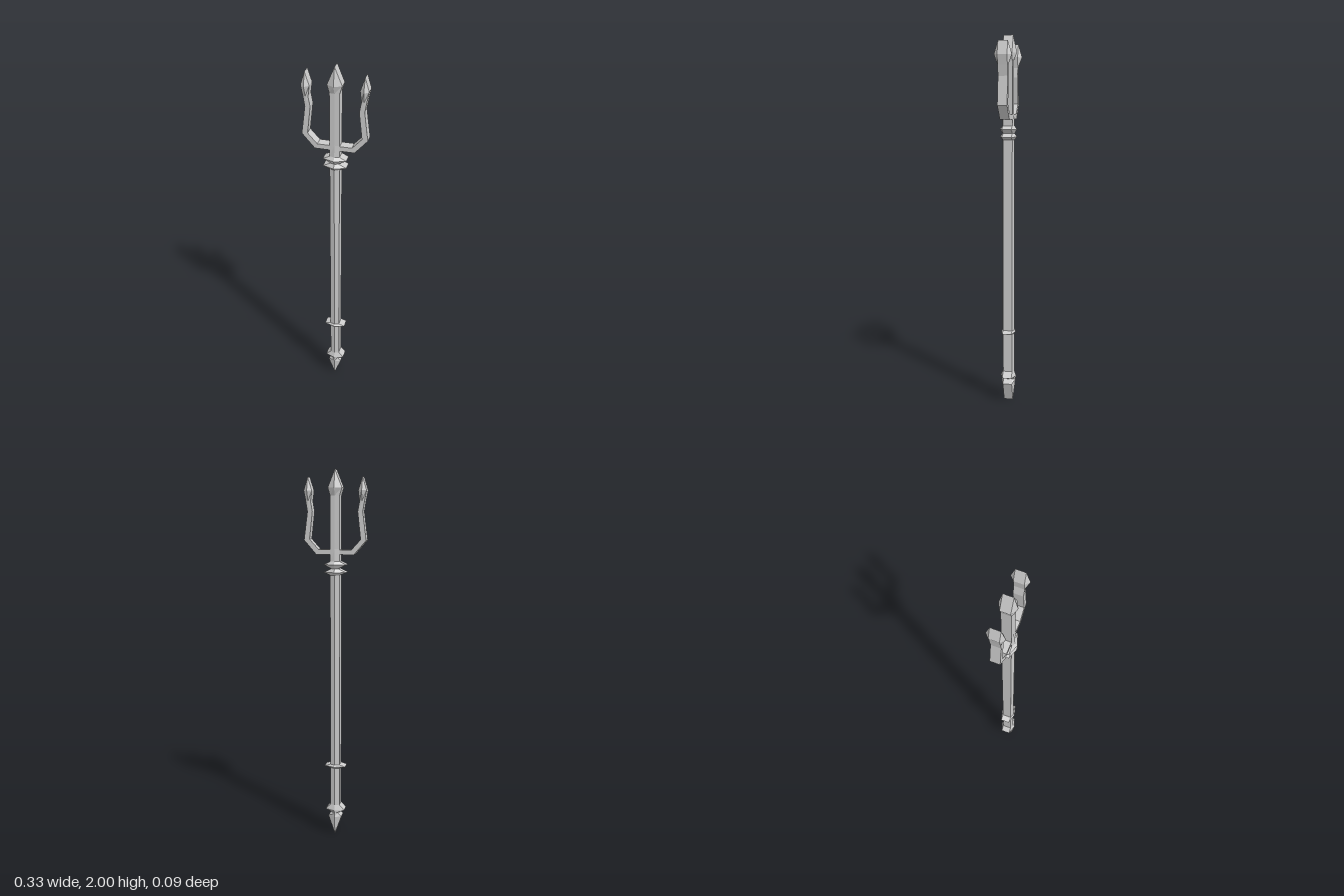
import * as THREE from 'three';

const D = 0.025; // half depth of the flat sides

// Skins a row of hexagonal sections. Each section is
// [leftX, leftY, rightX, rightY, ridge]: two flat sides of half depth D,
// joined front and back by a centre ridge at z = +-ridge.
function loft(name, sections, material) {
  const rings = sections.map(([lx, ly, rx, ry, ridge]) => {
    const mx = (lx + rx) / 2, my = (ly + ry) / 2;
    return [
      [lx, ly, D], [mx, my, ridge], [rx, ry, D],
      [rx, ry, -D], [mx, my, -ridge], [lx, ly, -D],
    ];
  });
  const pos = [];
  const tri = (a, b, c) => {
    const [p, q, r] = [a, b, c].map((v) => new THREE.Vector3(...v));
    if (q.clone().sub(p).cross(r.clone().sub(p)).length() > 1e-9) pos.push(...a, ...b, ...c);
  };
  for (let s = 0; s < rings.length - 1; s++) {
    const a = rings[s], b = rings[s + 1];
    for (let i = 0; i < 6; i++) {
      const j = (i + 1) % 6;
      tri(a[i], a[j], b[j]);
      tri(a[i], b[j], b[i]);
    }
  }
  // End caps (pointed ends collapse and are skipped)
  const first = rings[0], last = rings[rings.length - 1];
  for (let i = 1; i < 5; i++) {
    tri(first[0], first[i + 1], first[i]);
    tri(last[0], last[i], last[i + 1]);
  }
  const geo = new THREE.BufferGeometry();
  geo.setAttribute('position', new THREE.Float32BufferAttribute(pos, 3));
  geo.computeVertexNormals();
  const mesh = new THREE.Mesh(geo, material);
  mesh.name = name;
  return mesh;
}

// Symmetric upright sections from [y, halfWidth, ridge]
const upright = (rows) => rows.map(([y, w, r]) => [-w, y, w, y, r]);

export function createModel() {
  const group = new THREE.Group();
  group.name = 'trident';
  const mat = new THREE.MeshStandardMaterial({ color: 0xcccccc, flatShading: true });

  // Pointed foot
  group.add(loft('footSpike', upright([
    [0.005, 0, D], [0.11, 0.037, 0.038], [0.132, 0.015, 0.04],
    [0.15, 0.053, 0.043], [0.18, 0.025, 0.033],
  ]), mat));

  // Shaft with its small lower collar
  group.add(loft('shaft', upright([
    [0.18, 0.025, 0.033], [0.398, 0.025, 0.033], [0.408, 0.058, 0.041],
    [0.418, 0.025, 0.033], [1.465, 0.025, 0.033],
  ]), mat));

  // Double collar below the fork
  group.add(loft('collar', upright([
    [1.465, 0.025, 0.033], [1.48, 0.06, 0.046], [1.499, 0.019, 0.033],
    [1.52, 0.06, 0.046], [1.537, 0.025, 0.033],
  ]), mat));

  // Middle prong with spear head
  group.add(loft('middleProng', upright([
    [1.537, 0.025, 0.033], [1.6, 0.025, 0.027], [1.87, 0.025, 0.027],
    [1.91, 0.037, 0.045], [2, 0, D],
  ]), mat));

  // Side prong from the shaft outwards: inner edge, outer edge, ridge
  const prong = [
    [0, 1.597, 0, 1.572, D],
    [0.087, 1.597, 0.1, 1.572, D],
    [0.135, 1.65, 0.164, 1.645, D],
    [0.119, 1.79, 0.145, 1.79, D],
    [0.128, 1.84, 0.154, 1.845, 0.027],
    [0.121, 1.895, 0.164, 1.895, 0.046],
    [0.143, 1.963, 0.143, 1.963, D],
  ];
  group.add(loft('leftProng', prong, mat));
  group.add(loft('rightProng', prong.map(([ix, iy, ox, oy, r]) => [-ox, oy, -ix, iy, r]), mat));

  return group;
}
